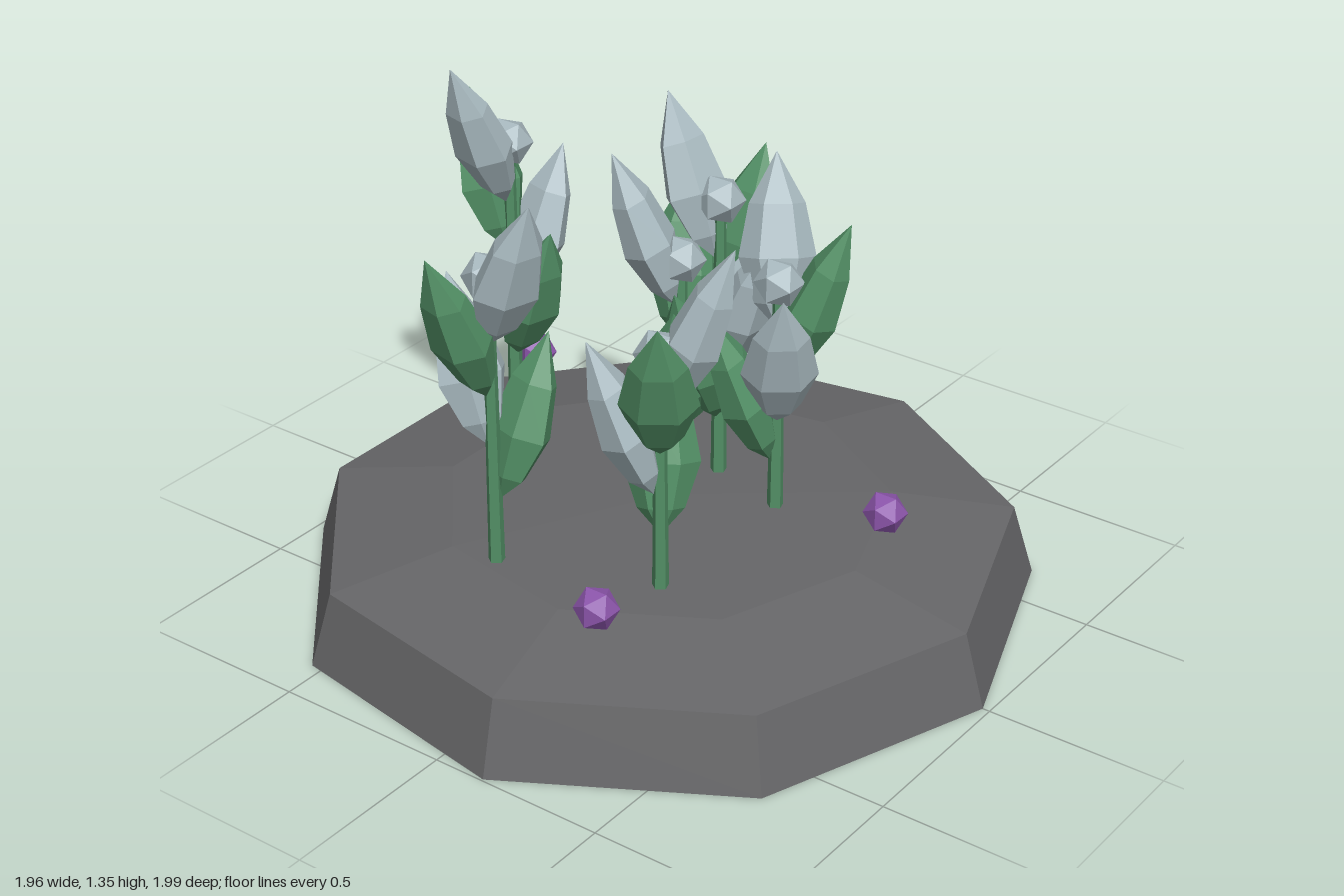
import * as THREE from 'three';

const flat = (name, color) => {
  const m = new THREE.MeshStandardMaterial({ color, flatShading: true });
  m.name = name;
  return m;
};
const lathe = (points, sides, start = 0) =>
  new THREE.LatheGeometry(points.map(([r, y]) => new THREE.Vector2(r, y)), sides, start);

export function createModel() {
  const stone = flat('dark stone', 0x666668);
  const green = flat('leaf green', 0x528f65);
  const pale = flat('pale grey blue', 0xa8b9bf);
  const purple = flat('purple', 0x8c55ab);

  const model = new THREE.Group();
  const add = (parent, name, geometry, material, x = 0, y = 0, z = 0) => {
    const mesh = new THREE.Mesh(geometry, material);
    mesh.name = name;
    mesh.position.set(x, y, z);
    parent.add(mesh);
    return mesh;
  };

  // Nine-sided rock slab with a shallow domed top
  const slab = lathe([[0, 0], [1.01, 0], [0.95, 0.205], [0.61, 0.267], [0, 0.28]], 9, Math.PI / 2);
  add(model, 'rockBase', slab, stone, -0.03);

  // Pointed leaf, leaning outward along +x, wide across z
  const leafShape = lathe(
    [[0, 0], [0.062, 0.07], [0.102, 0.19], [0.074, 0.33], [0, 0.465]], 6);
  leafShape.scale(0.72, 1, 1);
  leafShape.rotateZ(-0.37);
  const budShape = new THREE.IcosahedronGeometry(0.068, 0);

  // Plants: x, z, stem height, direction of the lowest leaf in degrees
  const ground = 0.27;
  const plants = [
    [-0.2, 0.51, 0.82, 75],
    [0.22, 0.36, 0.67, 125],
    [0, -0.2, 0.82, -95],
    [0.23, -0.14, 0.67, 218],
    [-0.09, -0.15, 0.64, -60],
    [-0.68, -0.16, 0.82, -15],
  ];
  for (const [x, z, height, turn] of plants) {
    const plant = new THREE.Group();
    plant.name = 'plant';
    plant.position.set(x, ground, z);
    model.add(plant);

    const stem = new THREE.CylinderGeometry(0.016, 0.023, height + 0.02, 5);
    add(plant, 'stem', stem, green, 0, height / 2 - 0.01, 0);
    add(plant, 'bud', budShape, pale, 0, height, 0);

    // Four leaves climbing the stem a quarter turn apart, alternating colour
    for (let i = 0; i < 4; i++) {
      const a = THREE.MathUtils.degToRad(turn + i * 90);
      const leaf = add(plant, i % 2 ? 'paleLeaf' : 'greenLeaf', leafShape, i % 2 ? pale : green,
        0.015 * Math.cos(a), height * (0.215 + 0.19 * i), -0.015 * Math.sin(a));
      leaf.rotation.y = a;
    }
  }

  // Small floating gems
  const gemShape = new THREE.IcosahedronGeometry(0.06, 0);
  for (const [x, z] of [[-0.755, -0.345], [0.55, -0.185], [0.223, 0.63]]) {
    add(model, 'gem', gemShape, purple, x, 0.342, z);
  }
  return model;
}
